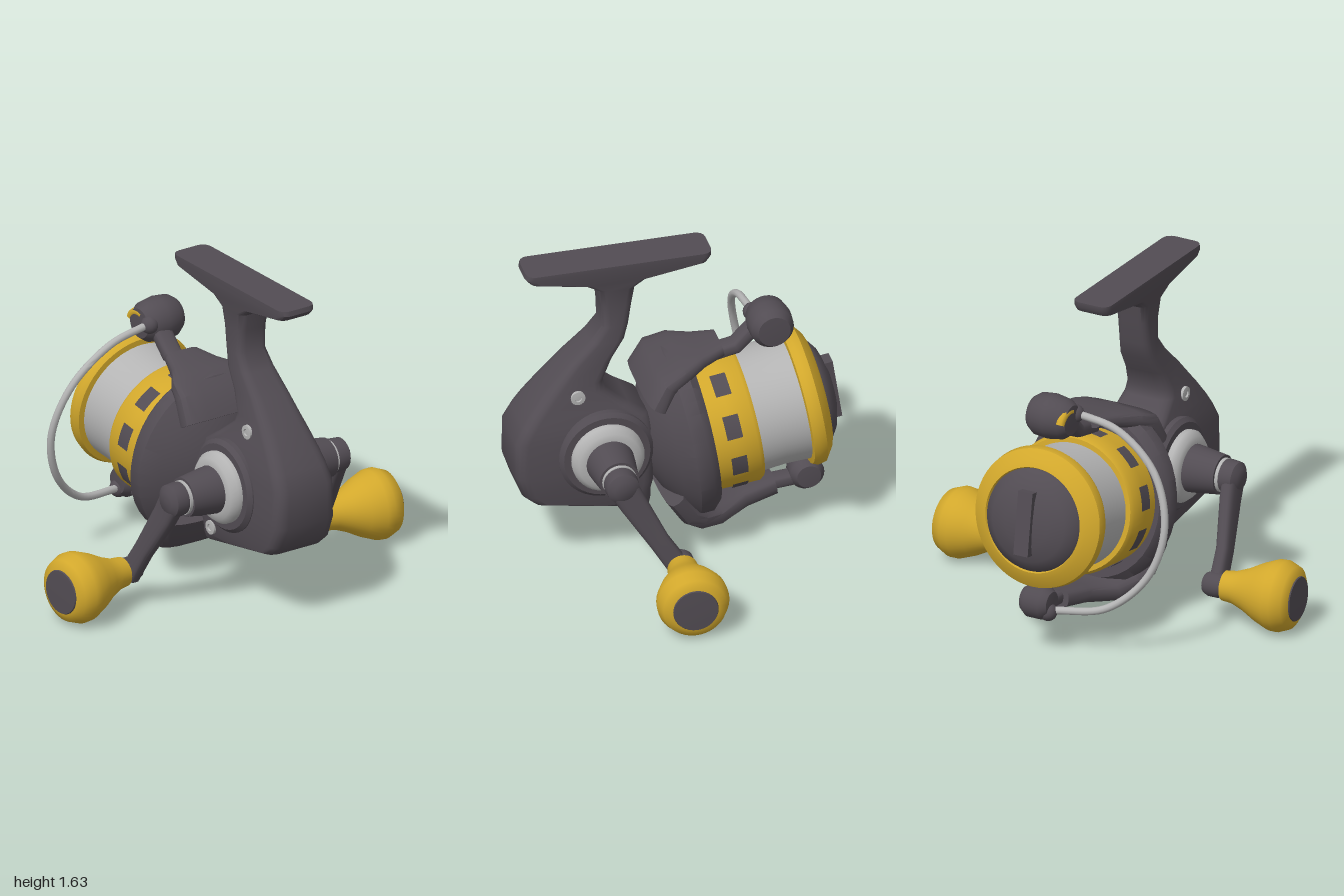
import * as THREE from 'three';
import { toCreasedNormals } from 'three/addons/utils/BufferGeometryUtils.js';

const paint = (name, hex) => {
  const m = new THREE.MeshStandardMaterial({ color: hex });
  m.name = name;
  return m;
};
const V = (x, y, z) => new THREE.Vector3(x, y, z);

// Skin between closed rings of equal length, capped at both ends
function loft(rings) {
  const n = rings[0].length, pos = [], tri = (a, b, c) => pos.push(a, b, c);
  for (let i = 0; i < rings.length - 1; i++) for (let j = 0; j < n; j++) {
    const k = (j + 1) % n, a = rings[i], b = rings[i + 1];
    tri(a[j], a[k], b[k]);
    tri(a[j], b[k], b[j]);
  }
  [rings[0], rings[rings.length - 1]].forEach((r, e) => {
    const c = r.reduce((s, p) => s.add(p), V(0, 0, 0)).divideScalar(n);
    for (let j = 0; j < n; j++) {
      const k = (j + 1) % n;
      if (e) tri(c, r[j], r[k]); else tri(c, r[k], r[j]);
    }
  });
  // Turn the skin outward if its volume is negative
  let vol = 0;
  for (let i = 0; i < pos.length; i += 3) vol += pos[i].dot(pos[i + 1].clone().cross(pos[i + 2]));
  if (vol < 0) for (let i = 0; i < pos.length; i += 3) [pos[i + 1], pos[i + 2]] = [pos[i + 2], pos[i + 1]];
  return new THREE.BufferGeometry().setFromPoints(pos);
}

// Rounded limb along [x, y, z, halfWidth (z), halfThickness] stations
function limb(stations, power = 0.6) {
  const p = stations.map(s => V(s[0], s[1], s[2]));
  return loft(stations.map((s, i) => {
    const t = p[Math.min(i + 1, p.length - 1)].clone().sub(p[Math.max(i - 1, 0)]).normalize();
    const nrm = V(0, 0, 1).cross(t).normalize(), side = t.clone().cross(nrm);
    return Array.from({ length: 20 }, (_, j) => {
      const a = j / 20 * Math.PI * 2, c = Math.cos(a), d = Math.sin(a);
      return p[i].clone()
        .addScaledVector(side, s[3] * Math.sign(c) * Math.abs(c) ** power)
        .addScaledVector(nrm, s[4] * Math.sign(d) * Math.abs(d) ** power);
    });
  }));
}

// Horizontal rounded rectangle for the body
function slab([y, x0, x1, hz]) {
  const r = Math.min(0.06, hz * 0.45, (x1 - x0) * 0.4), ring = [];
  [[x1 - r, hz - r], [x0 + r, hz - r], [x0 + r, r - hz], [x1 - r, r - hz]].forEach(([cx, cz], q) => {
    for (let i = 0; i < 5; i++) {
      const a = (q + i / 4) * Math.PI / 2;
      ring.push(V(cx + r * Math.cos(a), y, cz + r * Math.sin(a)));
    }
  });
  return ring;
}

// Lathe from [radius, height] pairs
const turn = (pts, seg = 40) => new THREE.LatheGeometry(pts.map(p => new THREE.Vector2(p[0], p[1])), seg);
// Lathe whose axis points to +z
const turnZ = (pts, x, y, seg) => turn(pts, seg).rotateX(Math.PI / 2).translate(x, y, 0);

export function createModel() {
  const dark = paint('graphite', 0x524c53), gold = paint('gold', 0xd2a82c), silver = paint('silver', 0xb4b4b4);
  const model = new THREE.Group();
  const add = (name, geo, mat, parent = model) => {
    const mesh = new THREE.Mesh(toCreasedNormals(geo, 0.75), mat);
    mesh.name = name;
    parent.add(mesh);
    return mesh;
  };
  const addBoth = (name, geo, mat) => {
    const front = add(name + 'Front', geo, mat);
    const g = front.geometry.clone().scale(1, 1, -1);
    // Reverse the corner order after mirroring
    for (const key of ['position', 'normal']) {
      const a = g.attributes[key].array;
      for (let i = 0; i < a.length; i += 9) for (let k = 3; k < 6; k++) {
        [a[i + k], a[i + k + 3]] = [a[i + k + 3], a[i + k]];
      }
    }
    const back = new THREE.Mesh(g, mat);
    back.name = name + 'Back';
    model.add(back);
  };

  // Foot, stem and gear housing
  add('body', loft([
    [1.635, -0.185, 0.74, 0.1], [1.61, -0.185, 0.745, 0.1], [1.582, -0.165, 0.72, 0.098],
    [1.535, 0.13, 0.46, 0.095], [1.49, 0.195, 0.38, 0.09], [1.4, 0.21, 0.365, 0.083],
    [1.28, 0.228, 0.36, 0.086], [1.2, 0.25, 0.42, 0.095], [1.1, 0.315, 0.525, 0.108],
    [1.0, 0.36, 0.615, 0.125], [0.95, 0.35, 0.66, 0.135], [0.86, 0.24, 0.73, 0.152],
    [0.8, 0.15, 0.77, 0.162], [0.72, 0.12, 0.812, 0.172], [0.53, 0.12, 0.812, 0.176],
    [0.42, 0.12, 0.775, 0.172], [0.37, 0.13, 0.72, 0.166], [0.315, 0.13, 0.42, 0.16],
    [0.275, 0.14, 0.22, 0.14],
  ].map(slab)), dark);

  // Spool and rotor share one tilted axis, local y pointing forward
  const head = new THREE.Group();
  head.name = 'spoolAndRotor';
  head.position.set(-0.16, 0.62, 0);
  head.rotation.z = THREE.MathUtils.degToRad(81.4);
  model.add(head);
  add('rotor', turn([[0, -0.34], [0.13, -0.32], [0.24, -0.265], [0.335, -0.2], [0.4, -0.13],
    [0.4, -0.06], [0.365, -0.02], [0, -0.02]]).scale(1.12, 1, 1), dark, head);
  add('spoolSkirt', turn([[0, -0.03], [0.34, -0.03], [0.345, 0.08], [0.348, 0.19], [0.335, 0.21], [0, 0.21]], 60), gold, head);
  add('line', turn([[0.31, 0.2], [0.305, 0.33], [0.312, 0.47]], 60), silver, head);
  add('spoolLip', turn([[0.3, 0.455], [0.34, 0.46], [0.352, 0.485], [0.345, 0.525], [0.29, 0.565],
    [0.262, 0.575], [0.25, 0.55]], 60), gold, head);
  add('dragCap', turn([[0.265, 0.545], [0.25, 0.58], [0.2, 0.615], [0.12, 0.64], [0, 0.65]]), dark, head);
  add('dragGrip', new THREE.BoxGeometry(0.32, 0.06, 0.08).translate(0, 0.638, 0), dark, head);
  // Skirt windows
  for (let i = 0; i < 10; i++) {
    const mid = THREE.MathUtils.degToRad(13 + i * 36), half = 0.17;
    add('skirtWindow', new THREE.CylinderGeometry(0.351, 0.351, 0.078, 5, 1, true, mid - half, half * 2)
      .translate(0, 0.085, 0), dark, head);
  }

  // Rotor arms and the links to the bail
  add('upperArm', limb([[0.12, 0.86, 0, 0.25, 0.06], [0.06, 0.97, 0, 0.24, 0.06], [-0.03, 1.01, 0, 0.21, 0.05],
    [-0.13, 1.03, 0, 0.14, 0.04], [-0.24, 1.053, 0, 0.095, 0.033]]), dark);
  add('upperLink', limb([[-0.17, 1.0, 0, 0.05, 0.035], [-0.32, 1.03, 0, 0.05, 0.035], [-0.44, 1.15, 0, 0.05, 0.035]]), dark);
  add('lowerArm', limb([[0.04, 0.36, 0, 0.3, 0.06], [-0.04, 0.24, 0, 0.28, 0.065], [-0.11, 0.19, 0, 0.25, 0.06],
    [-0.21, 0.165, 0, 0.19, 0.053], [-0.35, 0.193, 0, 0.11, 0.047], [-0.51, 0.22, 0, 0.075, 0.045]]), dark);
  add('lowerLink', limb([[-0.48, 0.22, 0, 0.045, 0.033], [-0.66, 0.235, 0, 0.045, 0.033]]), dark);

  // Bail pivots, line roller and wire
  add('upperPivot', turnZ([[0, -0.14], [0.08, -0.135], [0.105, -0.1], [0.112, -0.03], [0.1, 0.045],
    [0.075, 0.08], [0, 0.085]], -0.482, 1.155, 28), dark);
  add('lineRoller', new THREE.TorusGeometry(0.078, 0.022, 10, 20, 1.5).rotateZ(1.2)
    .translate(-0.5, 1.125, 0.062), gold);
  add('wireSocket', new THREE.SphereGeometry(0.045, 18, 12).translate(-0.42, 1.165, 0.06), dark);
  add('lowerPivot', turnZ([[0, -0.08], [0.06, -0.075], [0.085, -0.04], [0.085, 0.04], [0.06, 0.075], [0, 0.08]],
    -0.67, 0.26, 24), dark);
  add('lowerSocket', new THREE.SphereGeometry(0.045, 18, 12).translate(-0.68, 0.22, 0.06), dark);
  const wire = new THREE.CatmullRomCurve3([V(-0.42, 1.17, 0.06), V(-0.413, 1.12, 0.3), V(-0.435, 0.95, 0.51),
    V(-0.485, 0.7, 0.595), V(-0.535, 0.45, 0.53), V(-0.605, 0.27, 0.34), V(-0.67, 0.225, 0.07)]);
  add('bailWire', new THREE.TubeGeometry(wire, 60, 0.019, 10), silver);

  // Side plates, bearings, cranks and knobs on both sides
  const hx = 0.37, hy = 0.625;
  addBoth('sidePlate', turnZ([[0.235, 0.1], [0.235, 0.18], [0.215, 0.2], [0, 0.2]], hx, hy), dark);
  addBoth('bearingRing', turnZ([[0.18, 0.19], [0.18, 0.225], [0.155, 0.255], [0.12, 0.26], [0, 0.26]], hx, hy), silver);
  addBoth('crankShaft', turnZ([[0.12, 0.25], [0.115, 0.3], [0.098, 0.425], [0, 0.425]], hx, hy), dark);
  addBoth('shaftWasher', turnZ([[0.085, 0.42], [0.085, 0.442], [0, 0.442]], hx, hy), silver);
  addBoth('crankHub', turnZ([[0.08, 0.435], [0.085, 0.46], [0.08, 0.51], [0.05, 0.53], [0, 0.532]], hx, hy, 24), dark);
  addBoth('crankArm', limb([[0.38, 0.645, 0.482, 0.04, 0.075], [0.32, 0.53, 0.495, 0.038, 0.068],
    [0.2, 0.32, 0.535, 0.034, 0.052], [0.1, 0.16, 0.55, 0.036, 0.055]]), dark);
  addBoth('crankEnd', turnZ([[0, 0.49], [0.05, 0.495], [0.062, 0.52], [0.062, 0.57], [0.045, 0.61], [0, 0.61]], 0.09, 0.18, 24), dark);
  // Knob axis leans slightly outward
  const lean = g => g.rotateY(0.09).translate(0.045, 0, 0);
  addBoth('knob', lean(turnZ([[0, 0.592], [0.074, 0.595], [0.08, 0.65], [0.105, 0.715], [0.145, 0.79], [0.175, 0.865],
    [0.177, 0.905], [0.155, 0.96], [0.118, 0.982], [0, 0.982]], 0, 0.182)), gold);
  addBoth('knobCap', lean(turnZ([[0.115, 0.975], [0.108, 0.988], [0, 0.992]], 0, 0.182)), dark);

  // Housing screws
  for (const [x, y, z] of [[0.5, 0.94, 0.138], [0.24, 0.36, 0.168]]) {
    addBoth('screw', turnZ([[0.036, z - 0.03], [0.036, z + 0.008], [0.018, z + 0.01], [0.016, z + 0.002], [0, z + 0.002]], x, y, 16), silver);
  }
  return model;
}
